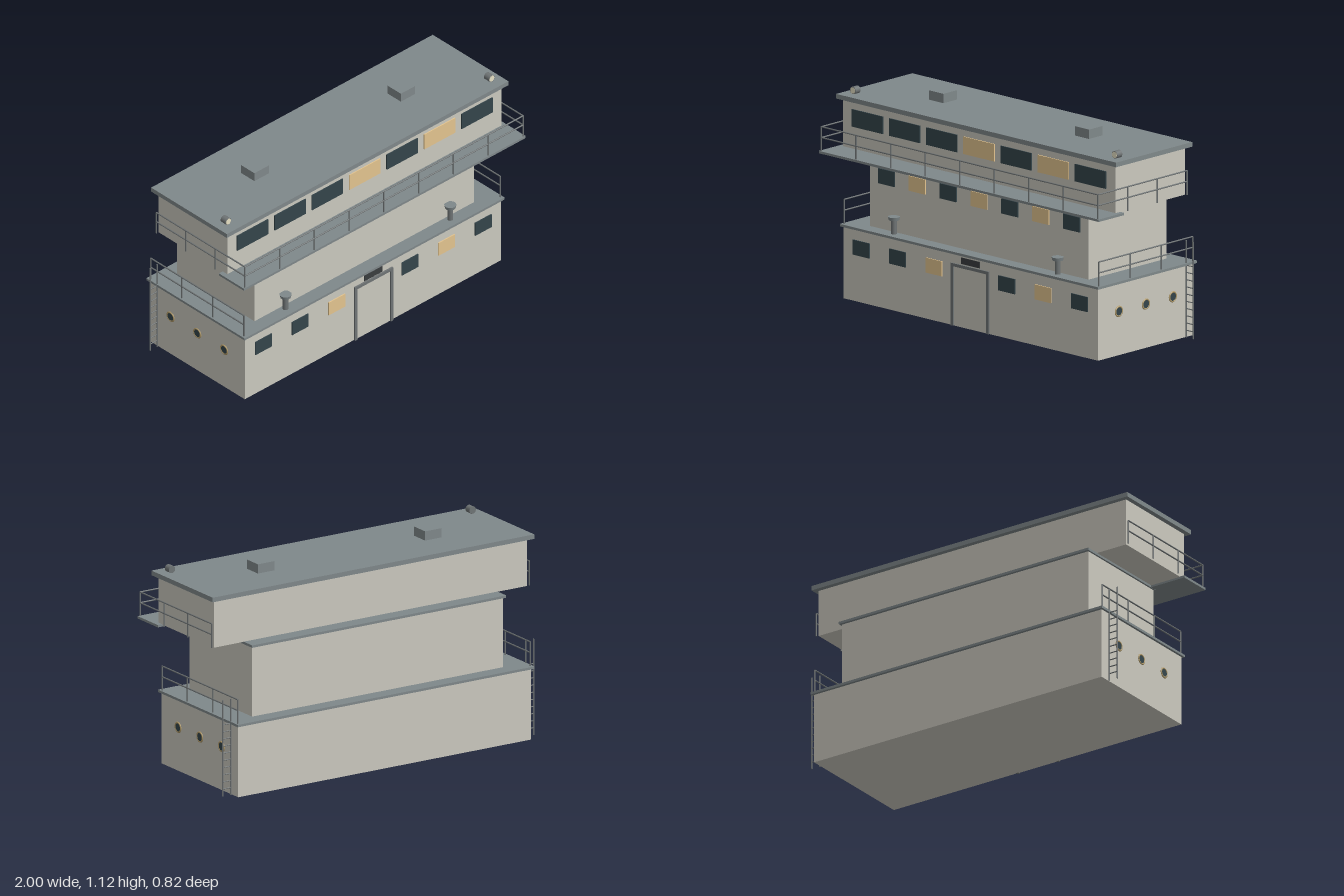
import * as THREE from 'three';

const mat = (color) => new THREE.MeshStandardMaterial({ color });

export function createModel() {
  const root = new THREE.Group();
  const wall = mat(0xcac8be), deck = mat(0x7f888a), metal = mat(0x6f7475);
  const glass = mat(0x34444a), lit = mat(0xe3c48f), brass = mat(0xb09a6a), dark = mat(0x3a3d3f);

  const add = (name, geo, m, x, y, z, parent = root) => {
    const mesh = new THREE.Mesh(geo, m);
    mesh.name = name;
    mesh.position.set(x, y, z);
    parent.add(mesh);
    return mesh;
  };
  // Box given by its limits on each axis
  const block = (name, m, x0, x1, y0, y1, z0, z1, parent) =>
    add(name, new THREE.BoxGeometry(x1 - x0, y1 - y0, z1 - z0), m,
      (x0 + x1) / 2, (y0 + y1) / 2, (z0 + z1) / 2, parent);
  const group = (name) => {
    const g = new THREE.Group();
    g.name = name;
    root.add(g);
    return g;
  };

  // Stacked houses and their decks
  block('lowerHouse', wall, -0.91, 0.91, 0, 0.385, -0.395, 0.32);
  block('lowerDeck', deck, -0.923, 0.923, 0.385, 0.398, -0.41, 0.333);
  block('middleHouse', wall, -0.78, 0.78, 0.398, 0.776, -0.33, 0.255);
  block('middleDeck', deck, -0.79, 0.79, 0.776, 0.789, -0.345, 0.268);
  block('bridgeWalkway', deck, -1, 1, 0.777, 0.79, 0.22, 0.41);
  block('bridgeHouse', wall, -0.973, 0.973, 0.788, 1.045, -0.265, 0.255);
  block('roof', deck, -1, 1, 1.045, 1.07, -0.292, 0.28);

  // Window rows: every row is evenly spaced along x
  const windowRow = (name, xs, litOnes, y, z, w, h) => {
    const g = group(name);
    xs.forEach((x, i) => add('window', new THREE.BoxGeometry(w, h, 0.012),
      litOnes.includes(i) ? lit : glass, x, y, z, g));
  };
  windowRow('lowerWindows', [-3, -2, -1, 1, 2, 3].map((i) => i * 0.26), [2, 4], 0.288, 0.32, 0.117, 0.08);
  windowRow('middleWindows', [-3, -2, -1, 0, 1, 2, 3].map((i) => i * 0.2205), [1, 3, 5], 0.68, 0.255, 0.118, 0.08);
  windowRow('bridgeWindows', [-3, -2, -1, 0, 1, 2, 3].map((i) => i * 0.2655), [3, 5], 0.955, 0.255, 0.22, 0.093);

  // Door surround with a dark plate above
  const door = group('door');
  for (const s of [-1, 1]) add('doorJamb', new THREE.BoxGeometry(0.016, 0.335, 0.014), metal, s * 0.127, 0.1675, 0.323, door);
  add('doorLintel', new THREE.BoxGeometry(0.238, 0.016, 0.014), metal, 0, 0.327, 0.323, door);
  block('doorPanel', wall, -0.12, 0.12, 0, 0.32, 0.316, 0.322, door);
  block('doorPlate', dark, -0.065, 0.065, 0.34, 0.374, 0.316, 0.324, door);

  // Straight round bar between two points
  const bar = (name, a, b, r, parent) => {
    const p = new THREE.Vector3(...a), d = new THREE.Vector3(...b).sub(p);
    const m = add(name, new THREE.CylinderGeometry(r, r, d.length(), 8), metal, 0, 0, 0, parent);
    m.position.copy(p).addScaledVector(d, 0.5);
    m.quaternion.setFromUnitVectors(new THREE.Vector3(0, 1, 0), d.normalize());
  };
  // Railing run with evenly spaced posts and two rails
  const railing = (name, [x0, z0], [x1, z1], y, spans) => {
    const g = group(name);
    for (let i = 0; i <= spans; i++) {
      const x = x0 + (x1 - x0) * i / spans, z = z0 + (z1 - z0) * i / spans;
      bar('post', [x, y, z], [x, y + 0.13, z], 0.004, g);
    }
    for (const h of [0.072, 0.13]) bar('rail', [x0, y + h, z0], [x1, y + h, z1], 0.004, g);
  };
  railing('bridgeFrontRailing', [-0.988, 0.403], [0.988, 0.403], 0.79, 8);

  // Paired fittings on both sides
  for (const s of [-1, 1]) {
    railing('bridgeSideRailing', [s * 0.988, 0.403], [s * 0.988, -0.265], 0.79, 3);
    railing('lowerRailing', [s * 0.91, 0.314], [s * 0.91, -0.39], 0.398, 3);

    const ladder = group('ladder');
    for (const x of [0.917, 0.967]) bar('ladderRail', [s * x, 0, -0.335], [s * x, 0.52, -0.335], 0.004, ladder);
    for (let i = 1; i <= 10; i++) {
      bar('rung', [s * 0.917, i * 0.0387, -0.335], [s * 0.967, i * 0.0387, -0.335], 0.003, ladder);
    }

    for (const z of [0.165, -0.038, -0.24]) {
      const port = group('porthole');
      port.position.set(s * 0.91, 0.235, z);
      port.rotation.y = s * Math.PI / 2;
      add('portholeRing', new THREE.TorusGeometry(0.025, 0.005, 8, 24), brass, 0, 0, 0, port);
      add('portholeGlass', new THREE.CylinderGeometry(0.023, 0.023, 0.006, 24), glass, 0, 0, 0, port)
        .rotation.x = Math.PI / 2;
    }

    const vent = group('mushroomVent');
    vent.position.set(s * 0.585, 0.398, 0.282);
    add('ventStem', new THREE.CylinderGeometry(0.015, 0.015, 0.08, 14), metal, 0, 0.04, 0, vent);
    add('ventCap', new THREE.CylinderGeometry(0.032, 0.028, 0.018, 16), deck, 0, 0.083, 0, vent);

    block('roofHatch', deck, s * 0.52 - 0.051, s * 0.52 + 0.051, 1.07, 1.12, -0.07, 0.032);

    const lamp = group('searchlight');
    lamp.position.set(s * 0.935, 1.089, 0.204);
    add('lampBody', new THREE.CylinderGeometry(0.02, 0.02, 0.038, 16), metal, 0, 0, 0, lamp).rotation.x = Math.PI / 2;
    add('lampLens', new THREE.CylinderGeometry(0.017, 0.017, 0.003, 16), mat(0xe6e0c4), 0, 0, 0.019, lamp)
      .rotation.x = Math.PI / 2;
  }
  return root;
}
